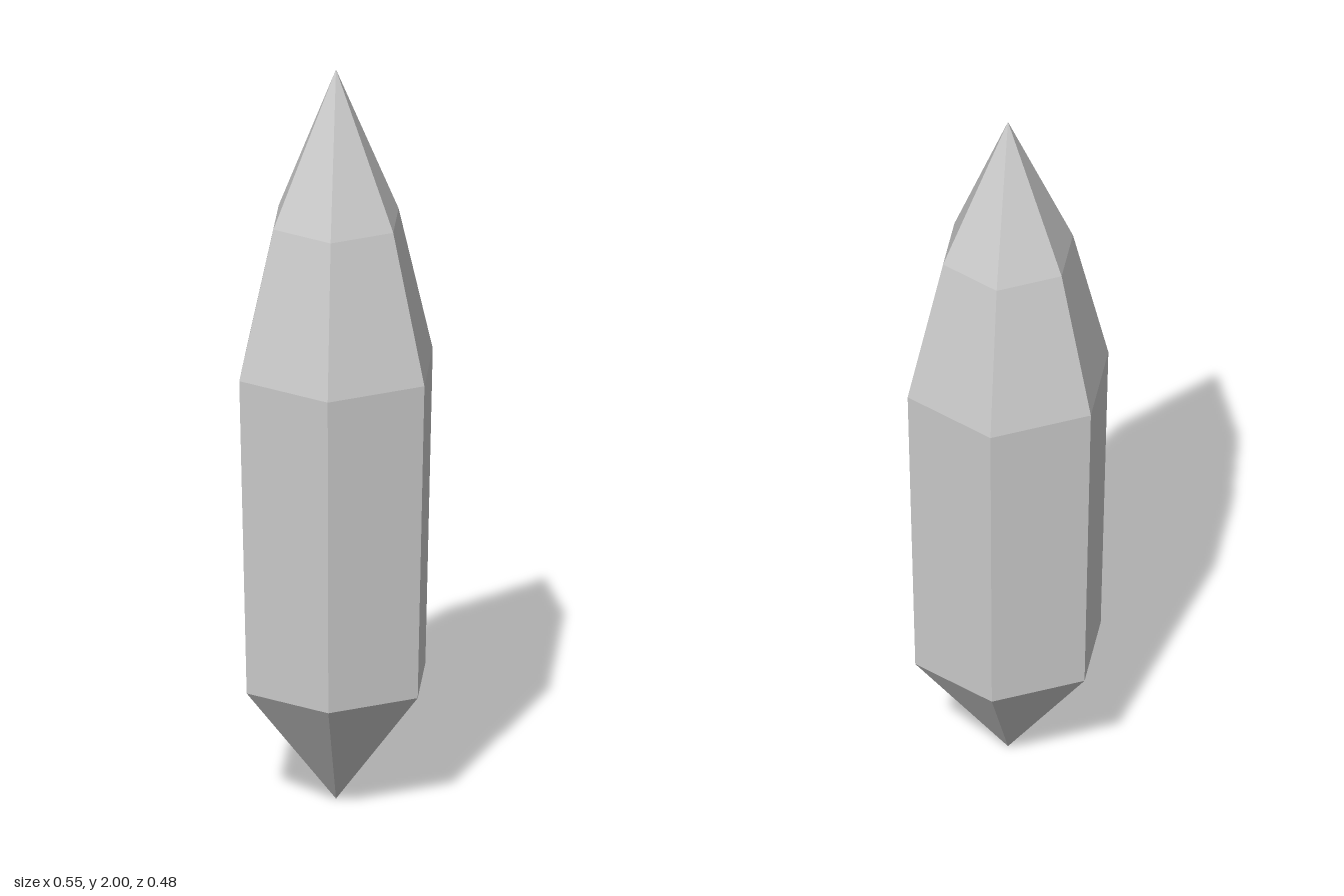
import * as THREE from 'three';

const SIDES = 6;

export function createModel() {
  const crystal = new THREE.Group();
  crystal.name = 'crystal';
  const greyStone = new THREE.MeshStandardMaterial({ color: 0xcccccc });
  greyStone.name = 'greyStone';

  // Hexagonal rings from the lower point to the upper point: [radius, height]
  const rings = [[0, 0], [0.254, 0.33], [0.275, 1.19], [0.178, 1.59], [0, 2]];
  const names = ['lowerPoint', 'body', 'shoulder', 'upperPoint'];

  // One open faceted band between each pair of rings
  names.forEach((name, i) => {
    const [r0, y0] = rings[i];
    const [r1, y1] = rings[i + 1];
    const band = new THREE.CylinderGeometry(r1, r0, y1 - y0, SIDES, 1, true, Math.PI / 2)
      .translate(0, (y0 + y1) / 2, 0)
      .toNonIndexed();
    band.computeVertexNormals(); // flat facets
    const mesh = new THREE.Mesh(band, greyStone);
    mesh.name = name;
    crystal.add(mesh);
  });

  return crystal;
}
